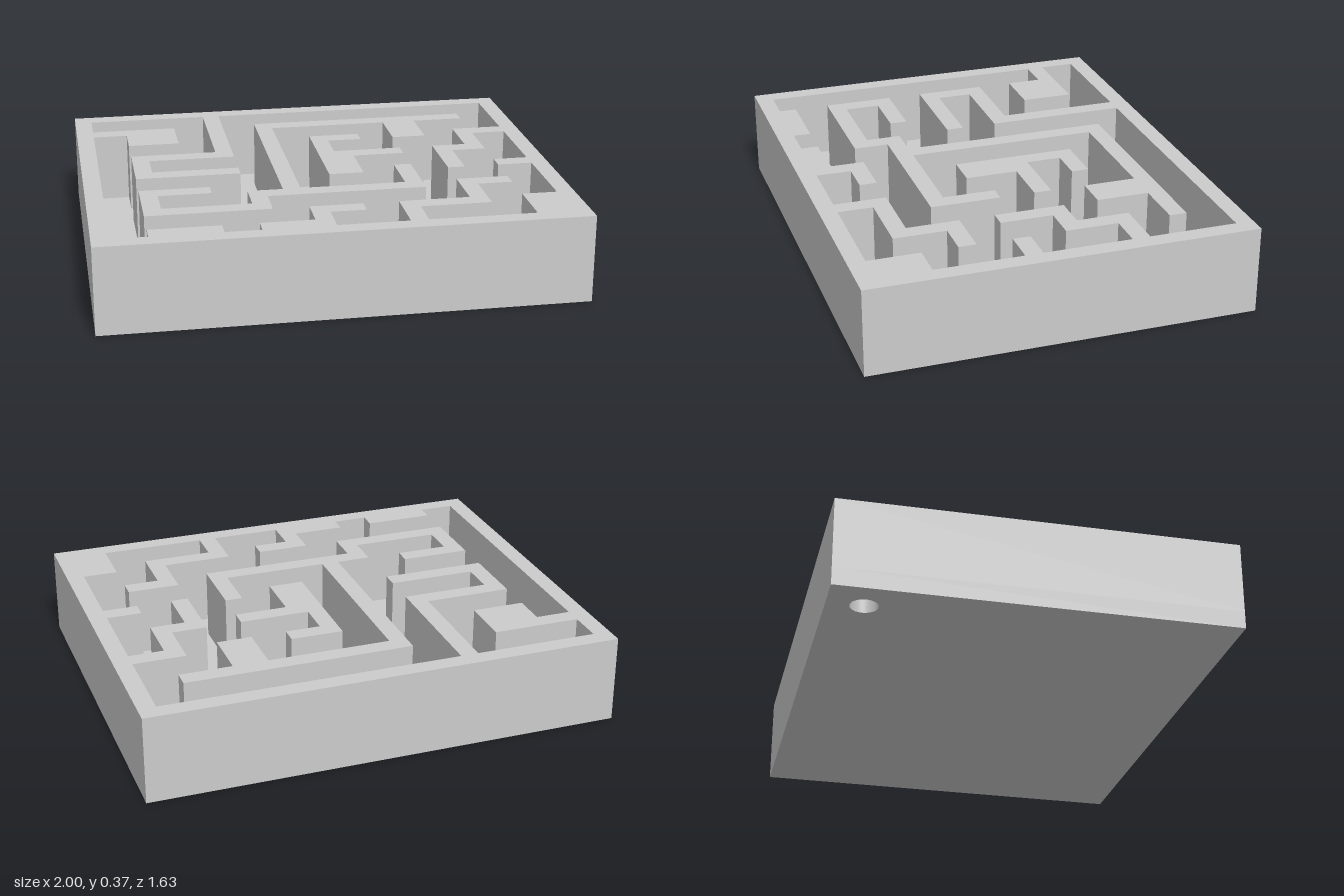
import * as THREE from 'three';

// The maze is laid out on a 27 x 22 grid of square units
const COLS = 27, ROWS = 22, U = 2 / COLS;
const FLOOR = U, TOP = 5 * U;

// Outlines run in right angles: each [column, row] pair is a corner, followed
// by a corner in the same row at the next pair's column.
const boardOutline = [0, 0, COLS, ROWS];
const corridorOutline = [
  1, 1, 8, 8, 3, 12, 9, 11, 4, 9, 9, 1, 26, 6, 23, 9, 21, 13, 22, 10, 24, 7,
  26, 12, 24, 13, 26, 18, 24, 21, 18, 19, 22, 16, 24, 15, 21, 18, 17, 21,
  13, 19, 15, 18, 12, 20, 9, 21, 7, 20, 3, 21, 1, 4, 3, 6, 6, 3,
];
const longWallOutline = [
  11, 3, 24, 4, 21, 7, 19, 4, 12, 15, 18, 12, 19, 16, 10, 18,
  3, 14, 7, 15, 4, 17, 9, 15,
];
const hookWallOutline = [14, 6, 17, 7, 15, 9, 19, 10, 16, 13];

const gridPoint = (c, r) => new THREE.Vector2((c - COLS / 2) * U, (r - ROWS / 2) * U);

function outline(code) {
  const points = [];
  for (let i = 0; i < code.length; i += 2) {
    points.push(gridPoint(code[i], code[i + 1]));
    points.push(gridPoint(code[(i + 2) % code.length], code[i + 1]));
  }
  return points;
}

const material = new THREE.MeshStandardMaterial({ color: 0xcccccc });

// Extrudes a plan shape between two heights
function slab(name, shape, y0, y1) {
  const geometry = new THREE.ExtrudeGeometry(shape, {
    depth: y1 - y0, bevelEnabled: false, curveSegments: 32,
  });
  geometry.rotateX(Math.PI / 2).translate(0, y1, 0);
  const mesh = new THREE.Mesh(geometry, material);
  mesh.name = name;
  return mesh;
}

export function createModel() {
  const model = new THREE.Group();
  model.name = 'mazeBoard';

  // Floor plate with the round drop hole in the back corner
  const base = new THREE.Shape(outline(boardOutline));
  const hole = gridPoint(2, 2);
  base.holes.push(new THREE.Path().absarc(hole.x, hole.y, 0.056, 0, Math.PI * 2, true));
  model.add(slab('floorPlate', base, 0, FLOOR));

  // Rim with all the walls joined to it, cut out by the corridors
  const rim = new THREE.Shape(outline(boardOutline));
  rim.holes.push(new THREE.Path(outline(corridorOutline)));
  model.add(slab('rimWalls', rim, FLOOR, TOP));

  // Free-standing walls
  model.add(slab('longInnerWall', new THREE.Shape(outline(longWallOutline)), FLOOR, TOP));
  model.add(slab('hookInnerWall', new THREE.Shape(outline(hookWallOutline)), FLOOR, TOP));

  return model;
}
